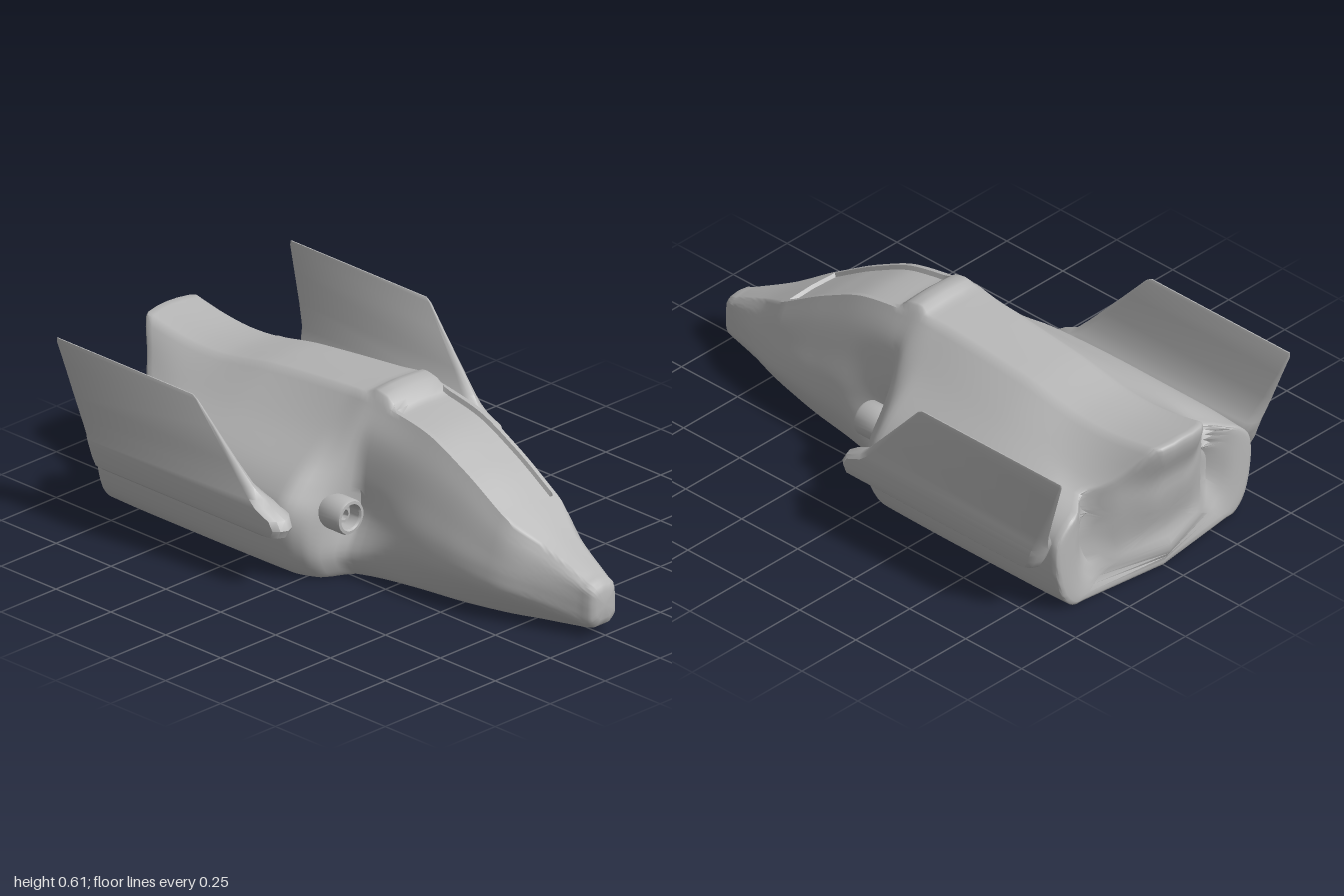
import * as THREE from 'three';
import { toCreasedNormals } from 'three/addons/utils/BufferGeometryUtils.js';

const hullGrey = new THREE.MeshStandardMaterial({ color: 0xb6b6b6 });
hullGrey.name = 'hullGrey';

// Hull stations: x, bottomY, bottomZ, then (z, y) of chine, side, shoulder, flank, crown edge
const STATIONS = [
  [-0.86, 0, 0.375, 0.425, 0.06, 0.45, 0.25, 0.40, 0.32, 0.23, 0.39, 0.11, 0.53],
  [-0.70, 0, 0.38, 0.425, 0.06, 0.452, 0.25, 0.41, 0.322, 0.24, 0.41, 0.11, 0.495],
  [-0.40, 0, 0.38, 0.425, 0.06, 0.452, 0.25, 0.41, 0.323, 0.25, 0.44, 0.11, 0.54],
  [-0.05, 0, 0.375, 0.42, 0.06, 0.45, 0.24, 0.40, 0.32, 0.24, 0.45, 0.115, 0.575],
  [0.04, 0, 0.34, 0.385, 0.08, 0.38, 0.21, 0.32, 0.31, 0.22, 0.46, 0.125, 0.582],
  [0.10, 0, 0.24, 0.285, 0.08, 0.215, 0.22, 0.215, 0.33, 0.19, 0.47, 0.13, 0.572],
  [0.30, 0, 0.18, 0.23, 0.12, 0.225, 0.22, 0.20, 0.33, 0.17, 0.44, 0.127, 0.537],
  [0.48, 0, 0.15, 0.215, 0.12, 0.215, 0.20, 0.19, 0.29, 0.16, 0.38, 0.125, 0.456],
  [0.66, 0.003, 0.11, 0.185, 0.11, 0.185, 0.17, 0.17, 0.23, 0.15, 0.29, 0.122, 0.348],
  [0.80, 0.01, 0.07, 0.13, 0.09, 0.13, 0.14, 0.12, 0.185, 0.10, 0.23, 0.07, 0.267],
  [0.96, 0.025, 0.04, 0.062, 0.05, 0.066, 0.10, 0.064, 0.14, 0.059, 0.17, 0.04, 0.187],
];

const { smoothstep, lerp } = THREE.MathUtils;

// Slope at station k, limited so the curve does not overshoot
function slope(k, c) {
  const d = (i) => (STATIONS[i + 1][c] - STATIONS[i][c]) / (STATIONS[i + 1][0] - STATIONS[i][0]);
  if (k === 0) return d(0);
  if (k === STATIONS.length - 1) return d(k - 1);
  const a = d(k - 1), b = d(k);
  return a * b <= 0 ? 0 : (2 * a * b) / (a + b);
}

function stationAt(x) {
  let k = 0;
  while (k < STATIONS.length - 2 && x > STATIONS[k + 1][0]) k++;
  const A = STATIONS[k], B = STATIONS[k + 1], h = B[0] - A[0], t = (x - A[0]) / h;
  return A.map((a, c) => {
    const t2 = t * t, t3 = t2 * t;
    return a * (2 * t3 - 3 * t2 + 1) + B[c] * (3 * t2 - 2 * t3)
      + h * (slope(k, c) * (t3 - 2 * t2 + t) + slope(k + 1, c) * (t3 - t2));
  });
}

// Skin a list of closed rings of [x, y, z]
function loft(rings, flip, crease) {
  const n = rings[0].length, index = [];
  for (let s = 0; s < rings.length - 1; s++) {
    for (let i = 0; i < n; i++) {
      const a = s * n + i, b = s * n + ((i + 1) % n), c = a + n, d = b + n;
      if (flip) index.push(a, b, c, b, d, c);
      else index.push(a, c, b, b, c, d);
    }
  }
  const geo = new THREE.BufferGeometry();
  geo.setAttribute('position', new THREE.Float32BufferAttribute(rings.flat(2), 3));
  geo.setIndex(index);
  return toCreasedNormals(geo, crease);
}

// Shrink a ring about a centre height, placed at x
const shrinkX = (ring, x, s, cy) => ring.map(([, y, z]) => [x, cy + (y - cy) * s, z * s]);

function hullRing(x) {
  const p = stationAt(x);
  const pts = [[p[2] * 0.9, p[1]], [p[2], p[1] + 0.004]];
  for (let i = 3; i < 13; i += 2) pts.push([p[i], p[i + 1]]);
  const curve = new THREE.CatmullRomCurve3(pts.map(([z, y]) => new THREE.Vector3(0, y, z)));
  const half = curve.getPoints(36).map((v) => [x, Math.max(v.y, p[1]), v.z]);

  // Crown with the lip behind the window and the sunken window itself
  const w = p[11], lip = 0.028 * Math.exp(-(((x - 0.095) / 0.05) ** 4));
  const sunk = x > 0.15 && x < 0.655 ? 0.015 : 0;
  const crown = [[0.88, 0.75, 0], [0.83, 0.95, sunk], [0.4, 1, sunk], [0, 1, sunk]];
  for (const [f, l, drop] of crown) half.push([x, p[12] + 0.006 * (1 - f) + lip * l - drop, w * f]);

  const mirror = half.slice(0, -1).reverse().map(([a, y, z]) => [a, y, -z]);
  return [[x, p[1], 0], ...half, ...mirror];
}

// Sweep the stern back at the crown and foot, and notch it either side
function shapeStern([x, y, z]) {
  const t = 1 - smoothstep(x, -0.86, -0.62);
  if (t === 0) return [x, y, z];
  const az = Math.abs(z);
  const centre = -0.045 - 0.04 * smoothstep(y, 0.1, 0.35) - 0.05 * smoothstep(y, 0.35, 0.52)
    - 0.035 * Math.exp(-(((y - 0.085) / 0.045) ** 2));
  const side = 0.06 * Math.exp(-(((az - 0.28) / 0.05) ** 2)) * smoothstep(y, 0, 0.2) - 0.005;
  return [x + t * lerp(centre, side, smoothstep(az, 0.06, 0.26)), y, z];
}

function makeHull() {
  const xs = [0.145, 0.154, 0.65, 0.659];
  for (let i = 0; i <= 91; i++) {
    const x = -0.86 + i * 0.02;
    if (xs.slice(0, 4).every((v) => Math.abs(v - x) > 0.008)) xs.push(x);
  }
  xs.sort((a, b) => a - b);
  const rings = xs.map(hullRing);

  // Rounded nose
  const nose = rings[rings.length - 1];
  for (const [x, s] of [[0.98, 0.93], [0.992, 0.8], [0.999, 0.55], [1, 0]]) {
    rings.push(shrinkX(nose, x, s, 0.105));
  }
  // Stern face
  const stern = rings[0];
  for (const s of [0.99, 0.96, 0.9, 0.82, 0.74, 0.65, 0.55, 0.45, 0.35, 0.25, 0.12, 0]) {
    rings.unshift(shrinkX(stern, s > 0.98 ? -0.865 : -0.868, s, 0.22));
  }
  return loft(rings.map((r) => r.map(shapeStern)), false, 0.9);
}

// Fin rows from the root pod to the tip: y, rear x, front x, inner z, outer z
const FIN_ROWS = [
  [0.178, -0.80, -0.02, 0.47, 0.515],
  [0.188, -0.825, 0.03, 0.45, 0.525],
  [0.215, -0.84, 0.042, 0.44, 0.527],
  [0.245, -0.85, 0.025, 0.435, 0.529],
  [0.27, -0.86, -0.035, 0.437, 0.529],
  [0.295, -0.868, -0.065, 0.455, 0.527],
  [0.33, -0.88, -0.10, 0.477, 0.526],
  [0.40, -0.905, -0.165, 0.495, 0.527],
  [0.50, -0.94, -0.257, 0.513, 0.53],
  [0.575, -0.967, -0.325, 0.526, 0.534],
  [0.588, -0.965, -0.345, 0.529, 0.533],
];

function makeFin(side) {
  const rings = FIN_ROWS.map(([y, x0, x1, zi, zo]) => {
    const zm = (zi + zo) / 2, q = (zo - zi) * 0.3, e = Math.min(0.03, (zo - zi) * 0.7);
    return [
      [x1, zm], [x1 - e * 0.35, zm + q], [x1 - e, zo], [x0 + e, zo], [x0 + e * 0.35, zm + q],
      [x0, zm], [x0 + e * 0.35, zm - q], [x0 + e, zi], [x1 - e, zi], [x1 - e * 0.35, zm - q],
    ].map(([x, z]) => [x, y, z * side]);
  });
  // Close the root and the tip onto their mid lines
  const close = (ring) => {
    const z = (ring[0][2] + ring[5][2]) / 2;
    return ring.map(([x, y]) => [x, y, z]);
  };
  rings.unshift(close(rings[0]));
  rings.push(close(rings[rings.length - 1]));
  return loft(rings, side < 0, 0.8);
}

// Hollow thruster with a small inner ring, pointing forward
function makeThruster() {
  const profile = [
    [0.05, -0.05], [0.06, -0.02], [0.06, 0.078], [0.056, 0.086], [0.046, 0.087], [0.041, 0.08],
    [0.04, 0.04], [0.028, 0.036], [0.026, 0.055], [0.018, 0.055], [0.016, 0.03], [0, 0.03],
  ].map(([r, y]) => new THREE.Vector2(r, y));
  const geo = new THREE.LatheGeometry(profile, 32);
  geo.deleteAttribute('uv');
  geo.deleteAttribute('normal');
  return toCreasedNormals(geo.rotateZ(-Math.PI / 2), 0.6);
}

export function createModel() {
  const model = new THREE.Group();
  model.name = 'shuttle';
  const add = (name, geo) => {
    const mesh = new THREE.Mesh(geo, hullGrey);
    mesh.name = name;
    model.add(mesh);
    return mesh;
  };

  add('hull', makeHull());
  for (const [side, label] of [[1, 'left'], [-1, 'right']]) {
    add(label + 'Fin', makeFin(side));
    add(label + 'Thruster', makeThruster()).position.set(0.05, 0.23, 0.293 * side);
  }
  return model;
}
